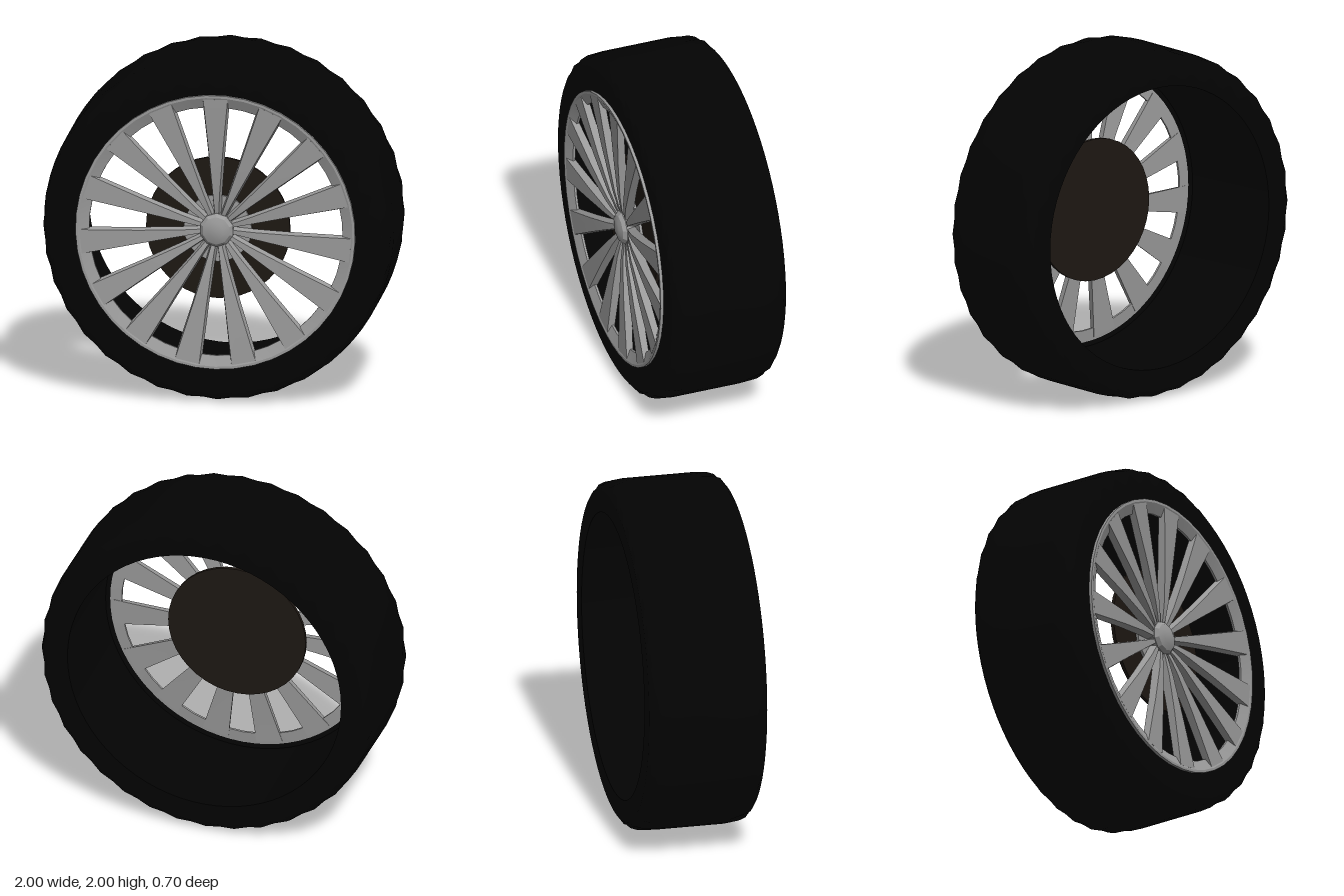
import * as THREE from 'three';
import { toCreasedNormals } from 'three/addons/utils/BufferGeometryUtils.js';

const SPOKES = 15;
const TYRE_SEGMENTS = 72;

// Revolves a counter-clockwise [radius, z] profile around the wheel's axle (z).
function turnedGeometry(profile, segments) {
  const points = profile.map(([r, z]) => new THREE.Vector2(r, z));
  return new THREE.LatheGeometry(points, segments).rotateX(Math.PI / 2);
}

function creasedMesh(name, geometry, material, crease = 0.4) {
  const mesh = new THREE.Mesh(toCreasedNormals(geometry, crease), material);
  mesh.name = name;
  return mesh;
}

// Wide tread, rounded shoulders with shallow scallops, open straight bore
function tyreGeometry() {
  const profile = [
    [0.82, -0.35], [0.945, -0.35], [0.98, -0.325], [0.995, -0.285], [1, -0.2],
    [1, 0.2], [0.995, 0.27], [0.98, 0.31], [0.945, 0.335],
    [0.795, 0.335], [0.795, 0.32], [0.82, 0.31], [0.82, -0.35],
  ];
  const shoulder = [2, 3, 6, 7];
  const geometry = turnedGeometry(profile, TYRE_SEGMENTS);
  const p = geometry.attributes.position;
  for (let i = 0; i < p.count; i++) {
    const column = Math.floor(i / profile.length);
    if (column % 2 === 1 && shoulder.includes(i % profile.length)) {
      p.setXY(i, p.getX(i) * 0.99, p.getY(i) * 0.99);
    }
  }
  return geometry;
}

// Tapered bar along +y: each section is [radius, half width, front z, back z].
function spokeGeometry() {
  const sections = [
    [0.05, 0.01, 0.28, 0.24],
    [0.12, 0.013, 0.298, 0.25],
    [0.22, 0.02, 0.313, 0.265],
    [0.45, 0.039, 0.331, 0.288],
    [0.775, 0.07, 0.349, 0.313],
  ];
  const steps = sections.length - 1;
  const geometry = new THREE.BoxGeometry(1, 1, 1, 1, steps, 1);
  const p = geometry.attributes.position;
  for (let i = 0; i < p.count; i++) {
    const [r, half, front, back] = sections[Math.round((p.getY(i) + 0.5) * steps)];
    const isFront = p.getZ(i) > 0;
    const width = isFront ? half : half + 0.009;
    p.setXYZ(i, Math.sign(p.getX(i)) * width, r, isFront ? front : back);
  }
  geometry.computeVertexNormals();
  return geometry;
}

export function createModel() {
  const metal = new THREE.MeshStandardMaterial({ color: 0x9b9b9b });
  const rubber = new THREE.MeshStandardMaterial({ color: 0x030303 });
  const iron = new THREE.MeshStandardMaterial({ color: 0x1e1813 });
  const wheel = new THREE.Group();
  wheel.name = 'wheel';

  wheel.add(creasedMesh('tyre', tyreGeometry(), rubber, 0.7));

  // Rim ring: thin, with a narrow front lip and a face dished slightly inwards
  const ring = [
    [0.725, 0.312], [0.8, 0.32], [0.8, 0.352], [0.785, 0.352], [0.725, 0.325], [0.725, 0.312],
  ];
  wheel.add(creasedMesh('rimRing', turnedGeometry(ring, 45), metal));

  // Spokes
  const spokes = new THREE.Group();
  spokes.name = 'spokes';
  const geometry = spokeGeometry();
  for (let i = 0; i < SPOKES; i++) {
    const spoke = new THREE.Mesh(geometry, metal);
    spoke.name = 'spoke';
    spoke.rotation.z = (i / SPOKES) * Math.PI * 2;
    spokes.add(spoke);
  }
  wheel.add(spokes);

  // Hub cap: small faceted dome
  const cap = [[0, 0.235], [0.098, 0.235], [0.098, 0.295], [0.08, 0.316], [0.045, 0.328], [0, 0.331]];
  wheel.add(creasedMesh('hubCap', turnedGeometry(cap, 10), metal));

  // Hub core behind the spoke roots
  const core = [[0, 0.225], [0.195, 0.225], [0.195, 0.25], [0, 0.25]];
  wheel.add(creasedMesh('hubCore', turnedGeometry(core, 20), metal));

  // Brake disc
  const disc = [[0, 0.215], [0.412, 0.215], [0.412, 0.235], [0, 0.235]];
  wheel.add(creasedMesh('brakeDisc', turnedGeometry(disc, 40), iron));

  return wheel.translateY(1);
}
